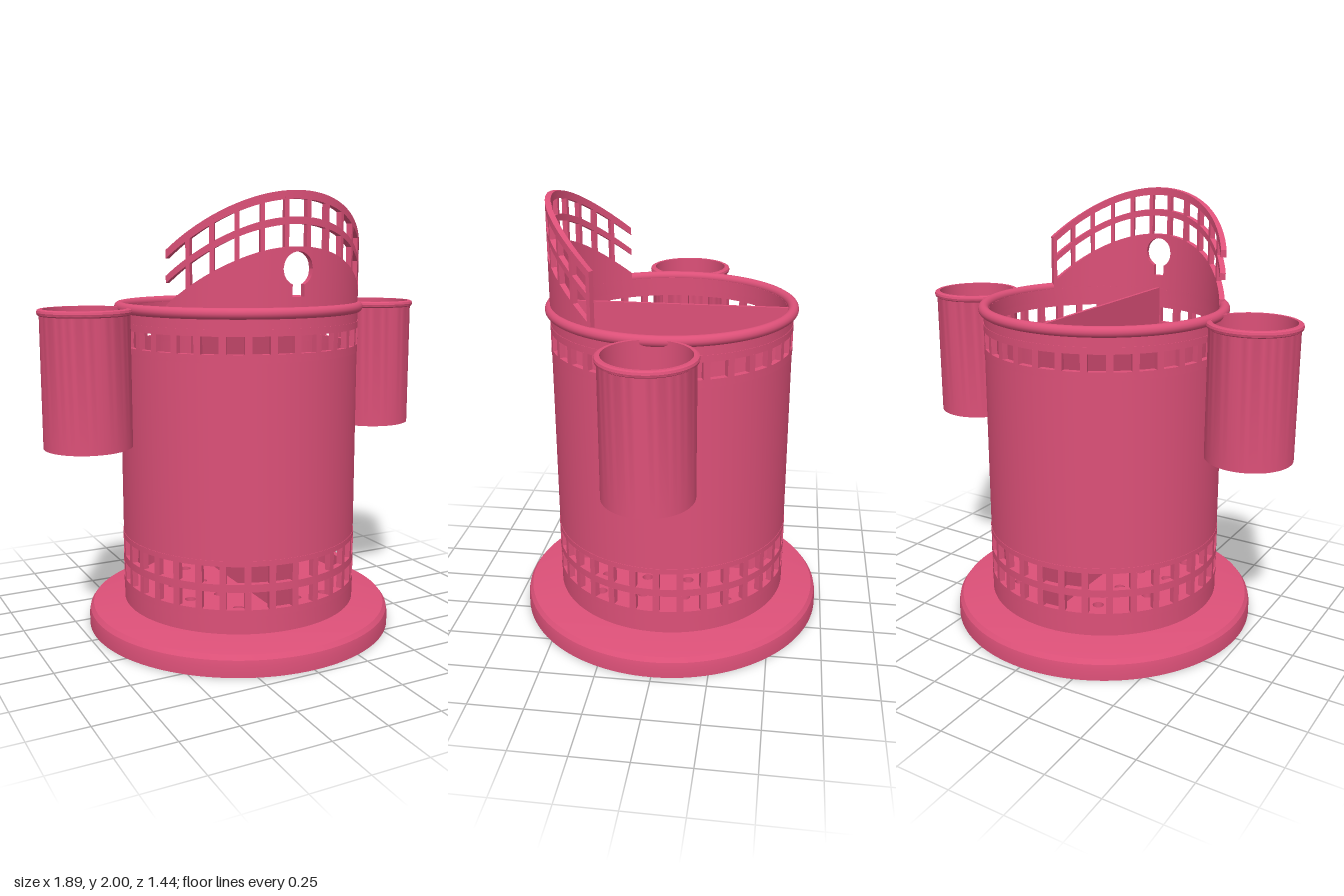
import * as THREE from 'three';
import { mergeGeometries, toCreasedNormals } from 'three/addons/utils/BufferGeometryUtils.js';

const OUTER = 0.55, INNER = 0.525, BAND = 0.552;
const WINDOWS = 32;
const rad = THREE.MathUtils.degToRad;

export function createModel() {
  const model = new THREE.Group();
  const material = new THREE.MeshStandardMaterial({ color: 0xdc5078 });

  function add(name, geometry, x = 0, y = 0, z = 0) {
    const mesh = new THREE.Mesh(geometry, material);
    mesh.name = name;
    mesh.position.set(x, y, z);
    model.add(mesh);
    return mesh;
  }

  // Turned solid with sharp edges; profile runs up the outside, down the inside
  function turned(profile, segments = 96) {
    const points = profile.map(([r, y]) => new THREE.Vector2(r, y));
    return toCreasedNormals(new THREE.LatheGeometry(points, segments), 0.4);
  }

  const ring = (r0, r1, y0, y1) => turned([[r1, y0], [r1, y1], [r0, y1], [r0, y0], [r1, y0]]);

  // Box bent around the y axis; angle 0 is the front, low and high are functions of the angle
  function arcBlock(r0, r1, a0, a1, low, high, segments) {
    const geometry = new THREE.BoxGeometry(1, 1, 1, segments, 1, 1);
    const p = geometry.attributes.position;
    for (let i = 0; i < p.count; i++) {
      const a = a0 + (a1 - a0) * (p.getX(i) + 0.5);
      const r = p.getZ(i) > 0 ? r1 : r0;
      const y = p.getY(i) > 0 ? high(a) : low(a);
      p.setXYZ(i, r * Math.sin(a), y, r * Math.cos(a));
    }
    geometry.computeVertexNormals();
    return geometry;
  }

  // Base foot
  add('base', turned([[0, 0], [0.72, 0], [0.72, 0.05], [0.715, 0.075], [0.7, 0.095],
    [0.55, 0.12], [0, 0.12]], 128));

  // Drainage floor with a grid of holes
  const floorShape = new THREE.Shape().absarc(0, 0, 0.535, 0, Math.PI * 2);
  for (const x of [-0.3, -0.15, 0.15, 0.3]) {
    for (const z of [-0.3, -0.1, 0.1, 0.3]) {
      floorShape.holes.push(new THREE.Path().absarc(x, z, 0.026, 0, Math.PI * 2, true));
    }
  }
  const floor = new THREE.ExtrudeGeometry(floorShape, { depth: 0.04, bevelEnabled: false, curveSegments: 32 });
  floor.rotateX(-Math.PI / 2);
  add('drainageFloor', floor, 0, 0.115, 0);

  // Plain wall sections
  for (const [y0, y1] of [[0.11, 0.2], [0.45, 1.3], [1.44, 1.5]]) {
    add('wall', ring(INNER, OUTER, y0, y1));
  }

  // Window bands: solid rings with rows of posts between them
  function windowBand(name, rings, rows) {
    const parts = [];
    const pitch = Math.PI * 2 / WINDOWS;
    for (const [y0, y1] of rows) {
      for (let i = 0; i < WINDOWS; i++) {
        const a = i * pitch;
        parts.push(arcBlock(INNER, BAND, a - pitch * 0.14, a + pitch * 0.14, () => y0, () => y1, 2));
      }
    }
    add(name + 'Posts', mergeGeometries(parts));
    for (const [y0, y1] of rings) add(name + 'Ring', ring(INNER, BAND, y0, y1));
  }
  windowBand('lowerWindow', [[0.2, 0.23], [0.31, 0.345], [0.425, 0.45]], [[0.23, 0.31], [0.345, 0.425]]);
  windowBand('upperWindow', [[1.3, 1.335], [1.41, 1.44]], [[1.335, 1.41]]);

  // Rounded top rim
  const rim = new THREE.TorusGeometry(0.549, 0.024, 16, 96);
  rim.rotateX(Math.PI / 2);
  add('topRim', rim, 0, 1.504, 0);

  // Central divider
  add('divider', new THREE.BoxGeometry(0.016, 1.37, 1.06), 0, 0.825, 0);

  // Side cups
  const cup = turned([[0, 0.905], [0.195, 0.905], [0.195, 1.483], [0.203, 1.488], [0.206, 1.498],
    [0.203, 1.508], [0.195, 1.512], [0.181, 1.512], [0.181, 0.93], [0, 0.93]], 64);
  for (const side of [-1, 1]) add(side > 0 ? 'leftCup' : 'rightCup', cup, side * 0.74, 0, 0);

  // Curved crest: solid panel with a bulb-shaped opening, topped by a lattice
  const edge = (drop) => (a) => 1.52 + 0.48 * Math.cos(a) - drop;
  const level = (y) => () => y;
  const crestBlock = (a0, a1, low, high, n) => arcBlock(INNER, OUTER, a0, a1, low, high, n);
  const end = rad(60), bulb = 0.07 / OUTER, neck = 0.028 / OUTER;
  const round = (a) => 0.07 * Math.sqrt(Math.max(0, 1 - (a / bulb) ** 2));
  const bulbTop = (a) => 1.685 + round(a);
  const bulbBottom = (a) => 1.685 - round(a);
  const panelTop = edge(0.225);
  add('crestPanel', mergeGeometries([
    crestBlock(-end, -bulb, level(1.5), panelTop, 24),
    crestBlock(bulb, end, level(1.5), panelTop, 24),
    crestBlock(-bulb, bulb, bulbTop, panelTop, 24),
    crestBlock(-bulb, -neck, level(1.5), bulbBottom, 10),
    crestBlock(neck, bulb, level(1.5), bulbBottom, 10),
    crestBlock(-neck, neck, level(1.5), level(1.57), 6),
  ]));
  const lattice = [
    crestBlock(-end, end, edge(0.035), edge(0), 48),
    crestBlock(-end, end, edge(0.135), edge(0.105), 48),
  ];
  // Upright bars run from the left end; the last opening stays open
  for (let i = 0; i < 11; i++) {
    const a = rad(59 - i * 10.8);
    lattice.push(crestBlock(a - rad(1), a + rad(1), edge(0.23), edge(0.01), 1));
  }
  add('crestLattice', mergeGeometries(lattice));

  return model;
}
